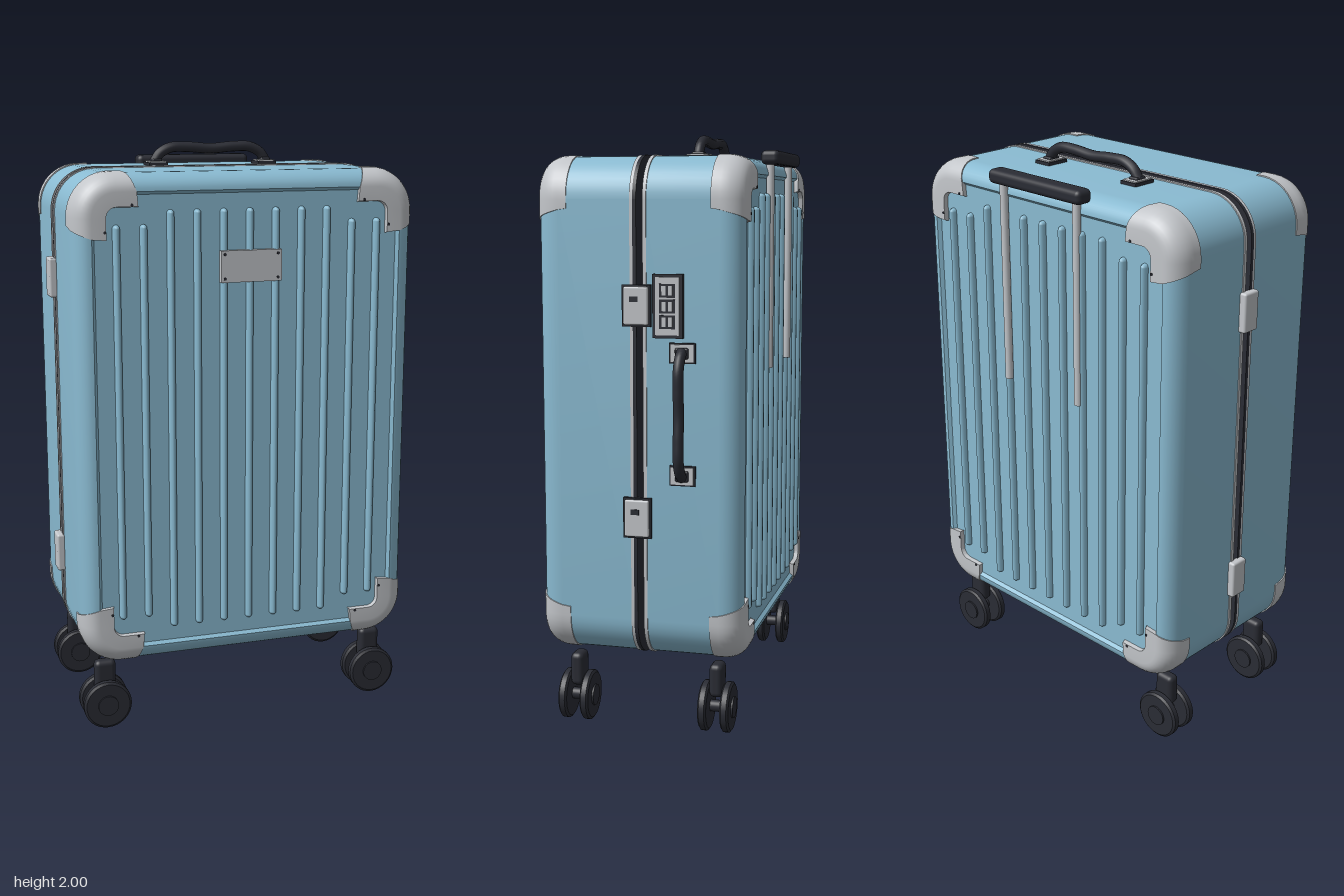
import * as THREE from 'three';
import { toCreasedNormals } from 'three/addons/utils/BufferGeometryUtils.js';
import { RoundedBoxGeometry } from 'three/addons/geometries/RoundedBoxGeometry.js';

const mat = (name, color) => Object.assign(new THREE.MeshStandardMaterial({ color }), { name });
const blue = mat('shell blue', 0x8abbd2);
const silver = mat('silver metal', 0xc3c6ca);
const black = mat('black plastic', 0x2a2c34);

const CX = -0.025, CY = 1.0875, HW = 0.59, HH = 0.8325, R = 0.14;
const RECESS = 0.012, EDGE_IN = 0.058, EDGE_Z = 0.075;

function add(parent, name, geo, material, x = 0, y = 0, z = 0) {
  const m = new THREE.Mesh(geo, material);
  m.name = name;
  m.position.set(x, y, z);
  parent.add(m);
  return m;
}
const box = (w, h, d, r = 0) => r ? new RoundedBoxGeometry(w, h, d, 3, r) : new THREE.BoxGeometry(w, h, d);

// Outline points of corner q (counter-clockwise), optionally with straight arms
function corner(q, inset, arm = 0) {
  const a0 = q * Math.PI / 2, r = Math.max(R - inset, 0.015);
  const sx = q === 0 || q === 3 ? 1 : -1, sy = q < 2 ? 1 : -1;
  const cx = sx * (HW - inset - r), cy = sy * (HH - inset - r);
  const pts = [];
  for (let i = 0; i <= 10; i++) {
    const a = a0 + i / 10 * Math.PI / 2;
    pts.push([cx + r * Math.cos(a), cy + r * Math.sin(a)]);
  }
  if (arm) {
    const t = arm - inset - r, a1 = a0 + Math.PI / 2;
    const p = pts[0], e = pts[10];
    pts.unshift([p[0] + Math.sin(a0) * t, p[1] - Math.cos(a0) * t]);
    pts.push([e[0] - Math.sin(a1) * t, e[1] + Math.cos(a1) * t]);
  }
  return pts;
}
const outline = inset => [0, 1, 2, 3].flatMap(q => corner(q, inset));

// Skin a list of equal-length rings
function skin(rings, closed) {
  const pos = [], idx = [], n = rings[0].length;
  rings.forEach(r => r.forEach(p => pos.push(...p)));
  for (let i = 0; i < rings.length - 1; i++) {
    for (let j = 0; j < (closed ? n : n - 1); j++) {
      const k = (j + 1) % n, a = i * n + j, b = i * n + k;
      idx.push(a, b, b + n, a, b + n, a + n);
    }
  }
  const g = new THREE.BufferGeometry();
  g.setAttribute('position', new THREE.Float32BufferAttribute(pos, 3));
  g.setIndex(idx);
  return toCreasedNormals(g, 0.6);
}
const loft = profile => skin(profile.map(([d, z]) => outline(d).map(p => [...p, z])), true);

// Rounded front edge of a shell, pushed out by e
function edge(depth, e = 0) {
  const pts = [];
  for (let i = 0; i <= 8; i++) {
    const a = i / 8 * Math.PI / 2;
    pts.push([EDGE_IN - (EDGE_IN + e) * Math.cos(a), depth - EDGE_Z + (EDGE_Z + e) * Math.sin(a)]);
  }
  return pts;
}

// Flat face filling the outline
function face(inset, z) {
  const g = new THREE.ShapeGeometry(new THREE.Shape(outline(inset).map(p => new THREE.Vector2(...p))));
  return g.translate(0, 0, z);
}

// One half of the case: seam at z = 0, ribbed face at z = depth
function halfShell(name, depth, gasket) {
  const g = new THREE.Group();
  g.name = name;
  const panelZ = depth - RECESS;
  add(g, 'shell', loft([[0, 0], ...edge(depth), [EDGE_IN + 0.01, panelZ]]), blue);
  add(g, 'panel', face(EDGE_IN + 0.01, panelZ), blue);

  // seam trim
  const trim = (label, a, b, m) => add(g, label, loft([[0, a], [-0.004, a], [-0.004, b], [0, b]]), m);
  if (gasket) trim('gasket', 0, 0.012, black);
  trim('rim', gasket ? 0.012 : 0, gasket ? 0.022 : 0.012, silver);
  add(g, 'seamFace', face(0, 0), gasket ? black : silver).rotation.y = Math.PI;

  // ribs
  for (let i = 0; i < 11; i++) {
    const len = i < 2 || i > 8 ? 1.34 : 1.43;
    add(g, 'rib', new THREE.CapsuleGeometry(0.0125, len - 0.025, 4, 10), blue, (i - 5) * 0.09, 0, panelZ).scale.z = 1.6;
  }

  // corner guards: a curved patch with edges tucked into the shell
  const e = 0.004, s = depth - 0.105;
  const prof = [[0.003, s], [-e, s], ...edge(depth, e), [0.105, depth + e], [0.108, panelZ - 0.002]];
  for (let q = 0; q < 4; q++) {
    const rings = prof.map(([d, z], i) => {
      const arm = 0.165 + 0.05 * i / (prof.length - 1);
      return corner(q, d, arm).map(p => [...p, z]);
    });
    // fold the two arm ends inwards
    const low = prof.map(([d, z]) => [Math.max(d, 0) + 0.005, Math.min(z, panelZ) - 0.003]);
    rings.forEach((r, i) => {
      const l = corner(q, low[i][0], 0.165 + 0.05 * i / (prof.length - 1));
      r.unshift([...l[0], low[i][1]]);
      r.push([...l[l.length - 1], low[i][1]]);
    });
    add(g, 'cornerGuard', skin(rings, false), silver);
    // guard rivets
    const sx = q === 0 || q === 3 ? 1 : -1, sy = q < 2 ? 1 : -1;
    for (const [dx, dy] of [[0.19, 0.1], [0.1, 0.185]]) {
      add(g, 'guardRivet', new THREE.CylinderGeometry(0.005, 0.005, 0.004, 8), black,
        sx * (HW - dx), sy * (HH - dy), depth + e).rotation.x = Math.PI / 2;
    }
  }
  return g;
}

// Carry handle, base at y = 0, running along x
function carryHandle(name) {
  const g = new THREE.Group();
  g.name = name;
  const half = [[-0.205, 0.012], [-0.185, 0.04], [-0.145, 0.06], [-0.08, 0.061], [0, 0.055]];
  const pts = [...half, ...half.slice(0, 4).reverse().map(([x, y]) => [-x, y])];
  const curve = new THREE.CatmullRomCurve3(pts.map(([x, y]) => new THREE.Vector3(x, y, 0)));
  add(g, 'grip', new THREE.TubeGeometry(curve, 48, 0.018, 12), black);
  for (const s of [-1, 1]) {
    add(g, 'mountBase', box(0.066, 0.012, 0.086), black, s * 0.2, 0.004);
    add(g, 'mountPlate', box(0.056, 0.012, 0.076), silver, s * 0.2, 0.008);
    add(g, 'mountSocket', box(0.036, 0.02, 0.045, 0.006), black, s * 0.2, 0.012);
  }
  return g;
}

// Twin caster wheel
function caster(x, z) {
  const g = new THREE.Group();
  g.name = 'caster';
  g.position.set(x, 0, z);
  add(g, 'fork', box(0.075, 0.115, 0.046, 0.018), black, 0, 0.182);
  const disc = (name, r, len, dz) =>
    add(g, name, new THREE.CylinderGeometry(r, r, len, 32), black, 0, 0.086, dz).rotation.x = Math.PI / 2;
  disc('axle', 0.02, 0.09, 0);
  for (const s of [-1, 1]) {
    const tyre = [[0, -0.015], [0.077, -0.015], [0.085, -0.009], [0.085, 0.009], [0.077, 0.015], [0, 0.015]];
    const geo = toCreasedNormals(new THREE.LatheGeometry(tyre.map(p => new THREE.Vector2(...p)), 32), 0.5);
    add(g, 'wheel', geo, black, 0, 0.086, s * 0.038).rotation.x = Math.PI / 2;
    disc('hub', 0.036, 0.008, s * 0.055);
  }
  return g;
}

// Side latch bridging the seam
function latch(y) {
  const g = new THREE.Group();
  g.name = 'latch';
  g.position.set(0.565, y, 0.012);
  add(g, 'latchBase', box(0.016, 0.135, 0.095), black, 0.006);
  add(g, 'latchBody', box(0.024, 0.123, 0.083, 0.006), silver, 0.012);
  add(g, 'latchButton', box(0.006, 0.018, 0.028), black, 0.023, 0.022, 0.005);
  return g;
}

export function createModel() {
  const model = new THREE.Group();
  model.name = 'suitcase';

  const front = halfShell('frontShell', 0.341, true);
  front.position.set(CX, CY, 0.014);
  const back = halfShell('backShell', 0.328, false);
  back.position.set(CX, CY, -0.007);
  back.rotation.y = Math.PI;
  model.add(front, back);

  // name plate with rivets
  add(model, 'namePlate', box(0.21, 0.105, 0.02), silver, CX, 1.613, 0.357);
  for (const sx of [-1, 1]) for (const sy of [-1, 1]) {
    add(model, 'plateRivet', new THREE.CylinderGeometry(0.005, 0.005, 0.004, 8), black,
      CX + sx * 0.092, 1.613 + sy * 0.04, 0.368).rotation.x = Math.PI / 2;
  }

  // carry handles
  const top = carryHandle('topHandle');
  top.position.set(CX - 0.003, 1.921, -0.095);
  const side = carryHandle('sideHandle');
  side.position.set(0.565, 1.092, -0.14);
  side.rotation.z = -Math.PI / 2;
  model.add(top, side);

  // latches, hinges and combination lock
  model.add(latch(1.442), latch(0.745));
  for (const y of [1.555, 0.57]) add(model, 'hinge', box(0.03, 0.135, 0.068, 0.008), silver, -0.625, y, 0.005);
  const lock = new THREE.Group();
  lock.name = 'combinationLock';
  lock.position.set(0.565, 1.442, -0.093);
  add(lock, 'lockBase', box(0.02, 0.205, 0.1), black, 0.006);
  add(lock, 'lockPlate', box(0.02, 0.185, 0.08), silver, 0.009);
  for (const i of [-1, 0, 1]) {
    add(lock, 'dialWindow', box(0.006, 0.044, 0.052), black, 0.018, i * 0.05);
    for (const s of [-1, 1]) add(lock, 'dial', box(0.006, 0.03, 0.014), silver, 0.02, i * 0.05, s * 0.011);
  }
  model.add(lock);

  // telescopic handle
  add(model, 'pullGrip', box(0.425, 0.048, 0.065, 0.018), black, CX - 0.002, 1.922, -0.343);
  for (const s of [-1, 1]) {
    add(model, 'pullRod', new THREE.CylinderGeometry(0.014, 0.014, 0.71, 16), silver, CX + s * 0.17, 1.56, -0.339);
  }

  // wheels
  for (const x of [-0.525, 0.472]) for (const z of [0.253, -0.237]) model.add(caster(x, z));
  return model;
}
